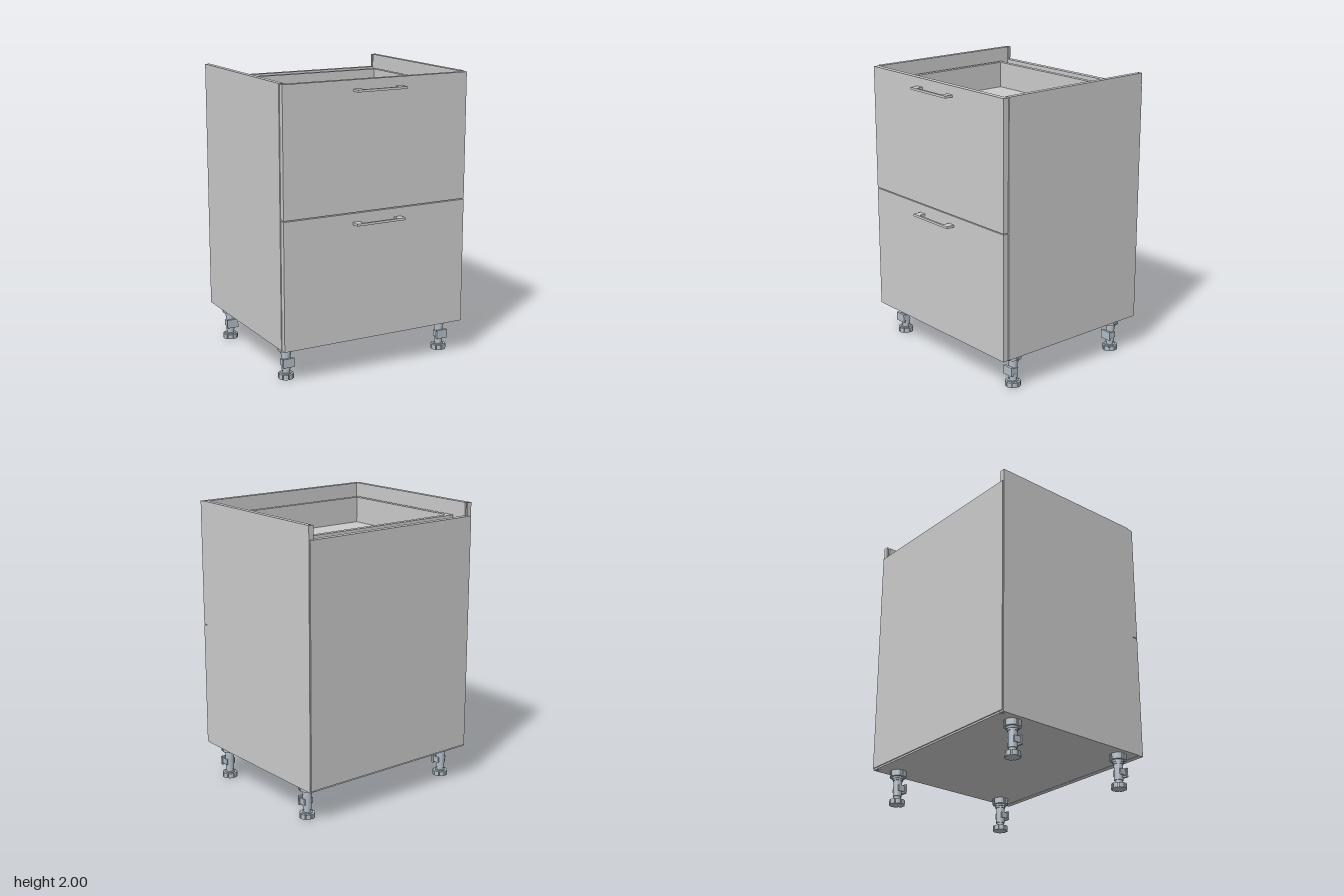
import * as THREE from 'three';

const grey = new THREE.MeshStandardMaterial({ color: 0xcccccc });
const steel = new THREE.MeshStandardMaterial({ color: 0xb2bcc6 });

function add(parent, name, geometry, material = grey) {
  const mesh = new THREE.Mesh(geometry, material);
  mesh.name = name;
  parent.add(mesh);
  return mesh;
}

// Box given by its limits on each axis
function box(parent, name, [x0, x1], [y0, y1], [z0, z1], material) {
  const g = new THREE.BoxGeometry(x1 - x0, y1 - y0, z1 - z0);
  g.translate((x0 + x1) / 2, (y0 + y1) / 2, (z0 + z1) / 2);
  return add(parent, name, g, material);
}

// Plan outline of [x, z] points, raised from y0 to y1
function raise(points, y0, y1) {
  const shape = new THREE.Shape(points.map(([x, z]) => new THREE.Vector2(x, -z)));
  const g = new THREE.ExtrudeGeometry(shape, { depth: y1 - y0, bevelEnabled: false });
  return g.rotateX(-Math.PI / 2).translate(0, y0, 0);
}

function cylinder(parent, name, r, y0, y1, material = steel, sides = 24) {
  return add(parent, name, new THREE.CylinderGeometry(r, r, y1 - y0, sides).translate(0, (y0 + y1) / 2, 0), material);
}

// Round outline with evenly spaced notches in its rim
function notched(rOut, rIn, count) {
  const pts = [];
  for (let i = 0; i < count; i++) {
    const a = (i / count) * Math.PI * 2, step = (Math.PI * 2) / count;
    for (const [t, r] of [[0, rIn], [0.18, rIn], [0.18, rOut], [0.38, rOut], [0.59, rOut], [0.8, rOut], [1, rOut]]) {
      pts.push([Math.cos(a + t * step) * r, Math.sin(a + t * step) * r]);
    }
  }
  return pts;
}

// Open-topped drawer box behind each front
function makeDrawer(top) {
  const drawer = new THREE.Group();
  drawer.name = 'drawerBox';
  const y = [top - 0.22, top];
  for (const s of [-1, 1]) box(drawer, 'drawerSide', s < 0 ? [-0.635, -0.6] : [0.6, 0.635], y, [-0.525, 0.5]);
  box(drawer, 'drawerBack', [-0.6, 0.6], y, [-0.525, -0.49]);
  box(drawer, 'drawerInnerFront', [-0.6, 0.6], y, [0.463, 0.5]);
  box(drawer, 'drawerFloor', [-0.6, 0.6], [top - 0.22, top - 0.185], [-0.49, 0.463]);
  return drawer;
}

// Adjustable foot with mounting collar and plinth clip
function makeLeg() {
  const leg = new THREE.Group();
  leg.name = 'leg';
  add(leg, 'footPad', raise(notched(0.053, 0.043, 8), 0, 0.034), steel);
  cylinder(leg, 'footHub', 0.036, 0.034, 0.04);
  cylinder(leg, 'threadedStem', 0.024, 0.035, 0.09);
  cylinder(leg, 'legTube', 0.03, 0.06, 0.19);
  cylinder(leg, 'legRing', 0.035, 0.172, 0.185);
  cylinder(leg, 'collar', 0.04, 0.185, 0.24);
  add(leg, 'collarFlange', raise(notched(0.057, 0.048, 4), 0.198, 0.24), steel);
  // Clip: plate with two arms gripping the tube
  box(leg, 'clipPlate', [-0.042, 0.042], [0.085, 0.147], [0.032, 0.048], steel);
  for (const s of [-1, 1]) {
    box(leg, 'clipArm', s < 0 ? [-0.036, -0.026] : [0.026, 0.036], [0.095, 0.137], [-0.015, 0.034], steel);
  }
  return leg;
}

export function createModel() {
  const model = new THREE.Group();
  model.name = 'drawerCabinet';

  // Side panels, each with a groove near the back
  const side = [[0.66, 0.542], [0.695, 0.542], [0.695, -0.637], [0.66, -0.637],
    [0.66, -0.625], [0.678, -0.625], [0.678, -0.613], [0.66, -0.613]];
  for (const s of [-1, 1]) {
    add(model, s > 0 ? 'leftSide' : 'rightSide', raise(s > 0 ? side : side.map(([x, z]) => [-x, z]), 0.24, 2));
  }

  // Bottom, back and rear rail
  box(model, 'bottomPanel', [-0.66, 0.66], [0.24, 0.277], [-0.605, 0.542]);
  box(model, 'bottomRearEdge', [-0.657, 0.657], [0.24, 0.277], [-0.637, -0.605]);
  box(model, 'backPanel', [-0.69, 0.69], [0.252, 1.908], [-0.645, -0.637]);
  box(model, 'rearRail', [-0.657, 0.657], [1.7, 1.908], [-0.637, -0.605]);

  // Two fronts, each with a drawer box and a bow handle
  const bow = [[-0.185, 0.585], [-0.185, 0.645], [0.185, 0.645], [0.185, 0.585],
    [0.133, 0.585], [0.133, 0.63], [-0.133, 0.63], [-0.133, 0.585]];
  for (const [name, y0, y1] of [['lower', 0.24, 1.117], ['upper', 1.123, 1.996]]) {
    box(model, name + 'Front', [-0.691, 0.691], [y0, y1], [0.546, 0.585]);
    add(model, name + 'Handle', raise(bow, y1 - 0.075, y1 - 0.059));
    model.add(makeDrawer(y1 - 0.09));
  }

  // Four legs
  for (const x of [-0.608, 0.608]) {
    for (const z of [0.43, -0.49]) {
      const leg = makeLeg();
      leg.position.set(x, 0, z);
      model.add(leg);
    }
  }
  return model;
}
